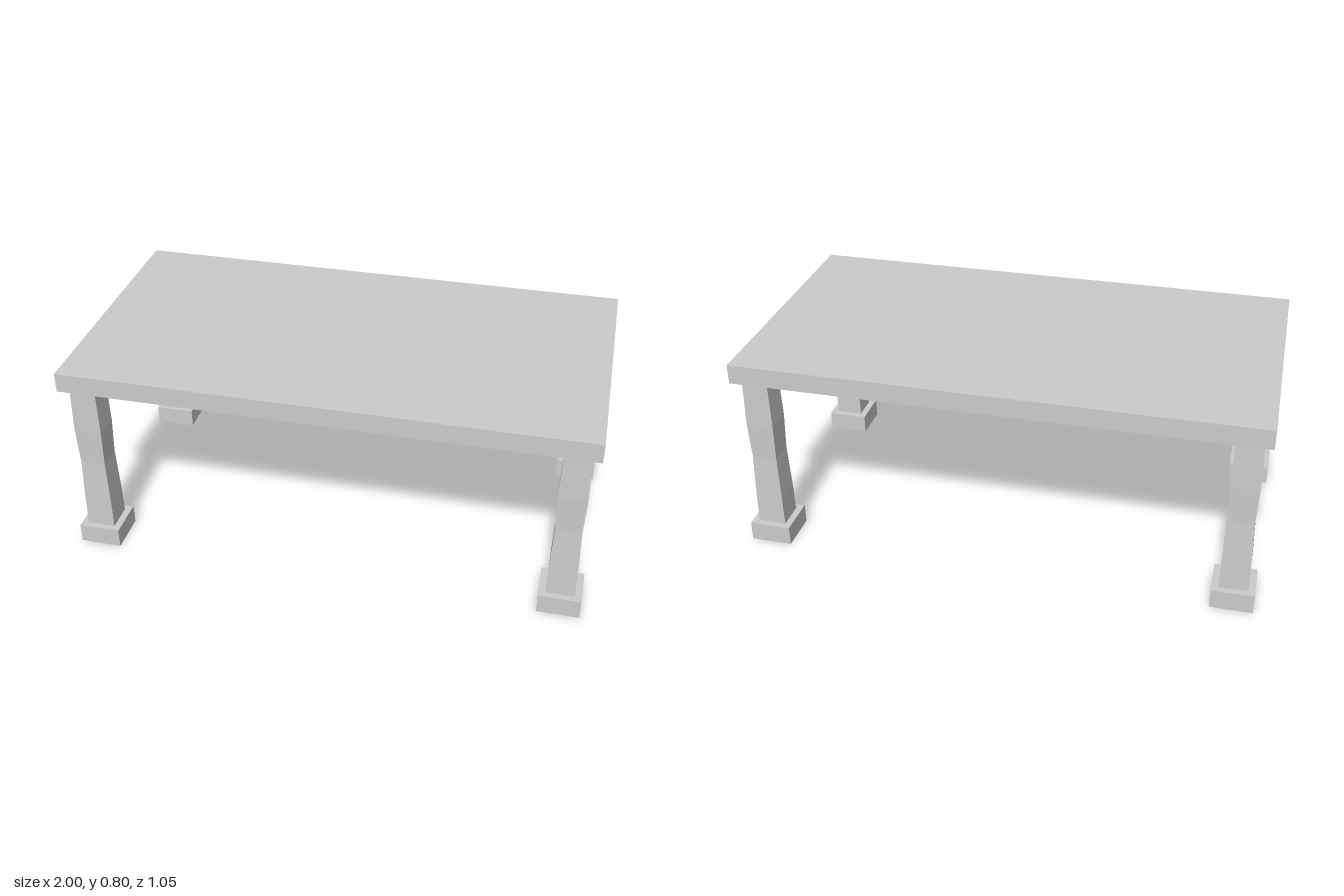
import * as THREE from 'three';

const material = new THREE.MeshStandardMaterial({ color: 0xcccccc, flatShading: true });

// Box given by its size and the height of its underside
function block(name, w, h, d, bottom) {
  const mesh = new THREE.Mesh(new THREE.BoxGeometry(w, h, d), material);
  mesh.name = name;
  mesh.position.y = bottom + h / 2;
  return mesh;
}

// Square post whose half-width swells and narrows: [half-width, height]
const legProfile = [[0.055, 0.078], [0.054, 0.2], [0.049, 0.38], [0.0535, 0.53], [0.05, 0.725]];

function createLeg(name) {
  const leg = new THREE.Group();
  leg.name = name;
  const points = legProfile.map(([half, y]) => new THREE.Vector2(half * Math.SQRT2, y));
  const post = new THREE.Mesh(new THREE.LatheGeometry(points, 4, Math.PI / 4), material);
  post.name = 'legPost';
  leg.add(post, block('foot', 0.163, 0.078, 0.163, 0));
  return leg;
}

export function createModel() {
  const table = new THREE.Group();
  table.name = 'table';
  table.add(block('tableTop', 2, 0.076, 1.052, 0.724));

  // One leg near each corner
  for (const [side, sx] of [['Left', 1], ['Right', -1]]) {
    for (const [end, sz] of [['front', 1], ['back', -1]]) {
      const leg = createLeg(`${end}${side}Leg`);
      leg.position.set(sx * 0.918, 0, sz * 0.439);
      table.add(leg);
    }
  }
  return table;
}
